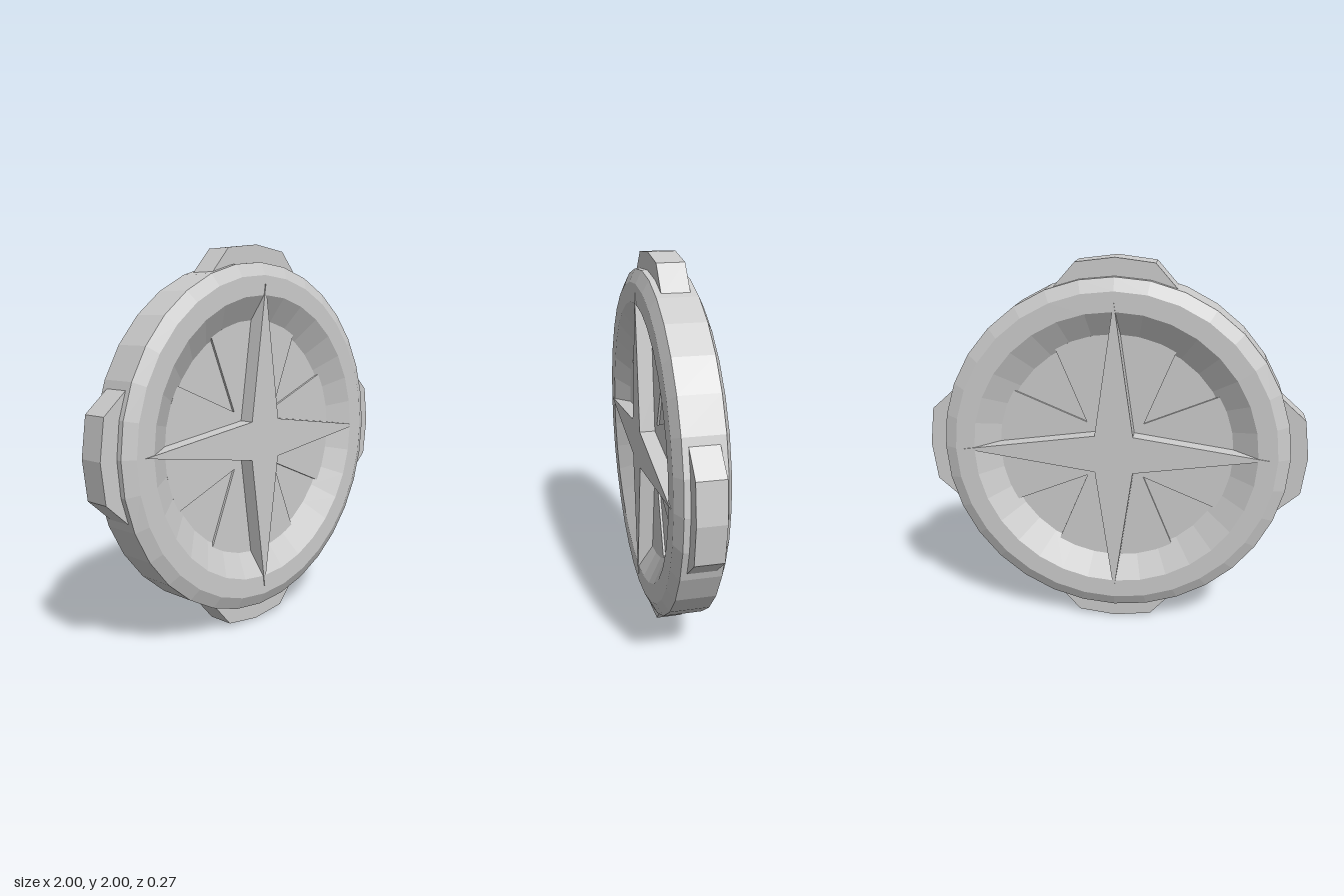
import * as THREE from 'three';

const material = new THREE.MeshStandardMaterial({ color: 0xcccccc, flatShading: true });

// Flat outline extruded evenly to both sides of z = 0
function slab(name, points, halfDepth) {
  const shape = new THREE.Shape(points.map(([x, y]) => new THREE.Vector2(x, y)));
  const geometry = new THREE.ExtrudeGeometry(shape, { depth: 2 * halfDepth, bevelEnabled: false });
  geometry.translate(0, 0, -halfDepth);
  const mesh = new THREE.Mesh(geometry, material);
  mesh.name = name;
  return mesh;
}

const polar = (r, a) => [r * Math.cos(a), r * Math.sin(a)];

export function createModel() {
  const group = new THREE.Group();
  group.name = 'medallion';
  const disc = new THREE.Group();
  disc.name = 'disc';
  disc.position.y = 1;
  group.add(disc);

  // Chamfered rim with a dished face on both sides
  const half = [[0.91, 0.1], [0.845, 0.132], [0.745, 0.132], [0.6, 0.045], [0, 0.045]];
  const profile = [
    ...half.map(([r, z]) => new THREE.Vector2(r, -z)).reverse(),
    ...half.map(([r, z]) => new THREE.Vector2(r, z)),
  ];
  const rim = new THREE.Mesh(new THREE.LatheGeometry(profile, 32), material);
  rim.name = 'rim';
  rim.rotation.x = Math.PI / 2;
  disc.add(rim);

  // Raised floor plate with four shallow wedge cut-outs, and the four-pointed star
  const plate = [];
  const star = [];
  for (let q = 0; q < 4; q++) {
    const a = q * Math.PI / 2;
    for (let i = -3; i <= 3; i++) plate.push(polar(0.62, a + i * Math.PI / 18));
    plate.push(polar(0.15 * Math.SQRT2, a + Math.PI / 4));
    star.push(polar(0.8, a), polar(0.1 * Math.SQRT2, a + Math.PI / 4));
  }
  disc.add(slab('floorPlate', plate, 0.057));
  disc.add(slab('star', star, 0.137));

  // Four lugs around the rim
  const lug = [[-0.28, 0.8], [0.28, 0.8], [0.32, 0.84], [0.2, 0.975], [0, 1], [-0.2, 0.975], [-0.32, 0.84]];
  ['topLug', 'rightLug', 'bottomLug', 'leftLug'].forEach((name, i) => {
    const mesh = slab(name, lug, 0.07);
    mesh.rotation.z = -i * Math.PI / 2;
    // Names follow the model's own left (+x) and right (-x)
    if (i % 2) mesh.rotation.z += Math.PI;
    disc.add(mesh);
  });

  return group;
}
